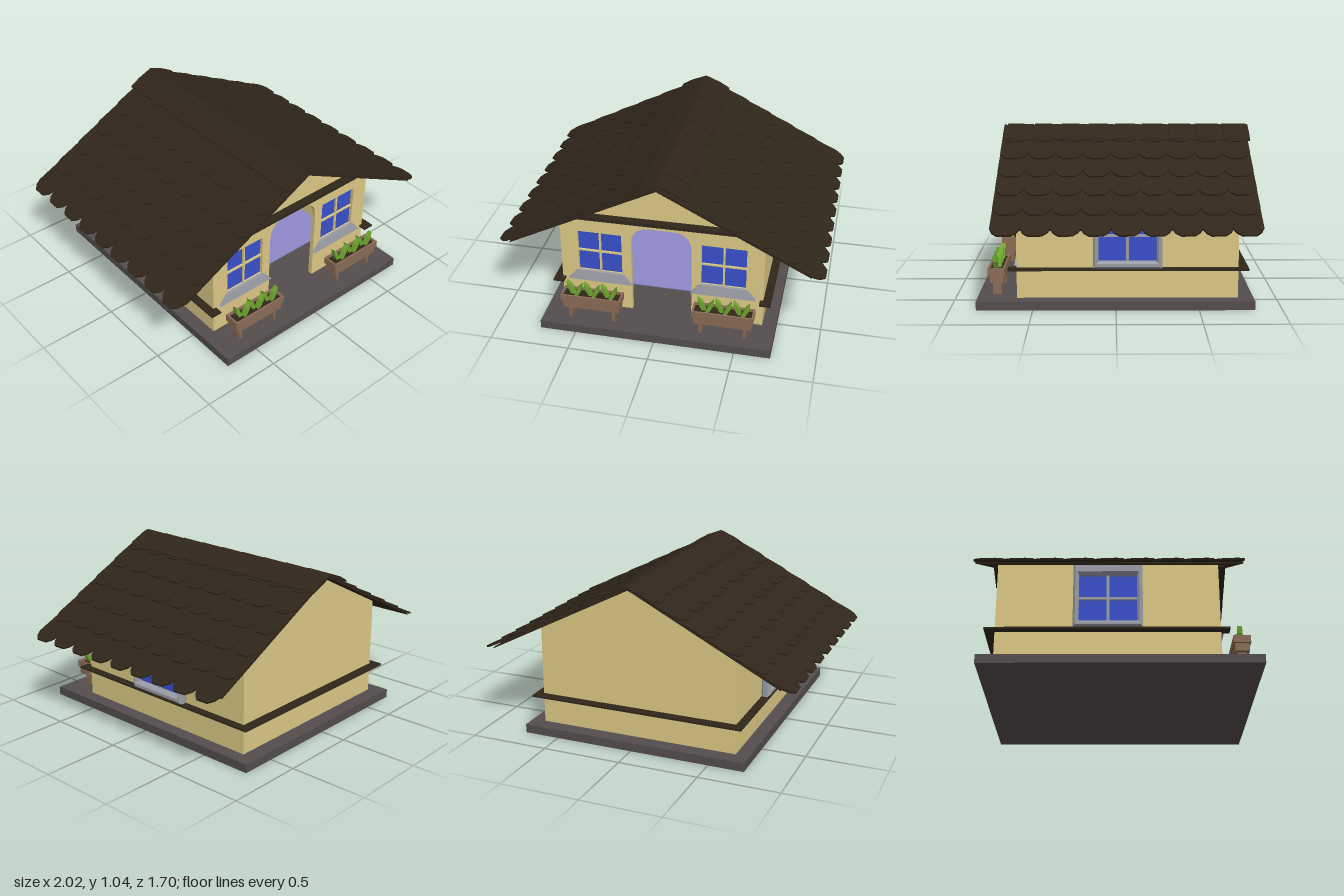
import * as THREE from 'three';

const mat = (color, side = THREE.FrontSide) =>
  new THREE.MeshStandardMaterial({ color, side, flatShading: true });
const WALL = mat(0xdcc986), ROOF = mat(0x30261a), STONE = mat(0x544d4d), FRAME = mat(0x9b9da6);
const GLASS = mat(0x3850cc), WOOD = mat(0x8a6b55), LEAF = mat(0x6fa62e, THREE.DoubleSide);
const FLOOR = mat(0x8c88c8);

function add(parent, name, geo, material, x = 0, y = 0, z = 0) {
  const m = new THREE.Mesh(geo, material);
  m.name = name;
  m.position.set(x, y, z);
  parent.add(m);
  return m;
}

// box given by its min and max on each axis
function span(parent, name, material, x0, x1, y0, y1, z0, z1) {
  return add(parent, name, new THREE.BoxGeometry(x1 - x0, y1 - y0, z1 - z0), material,
    (x0 + x1) / 2, (y0 + y1) / 2, (z0 + z1) / 2);
}

const shapeOf = pts => new THREE.Shape(pts.map(p => new THREE.Vector2(...p)));
const extrude = (shape, depth) =>
  new THREE.ExtrudeGeometry(shape, { depth, bevelEnabled: false, curveSegments: 8 });
const rect = (x0, x1, y0, y1) => [[x0, y0], [x1, y0], [x1, y1], [x0, y1]];

const W = 0.64, ZF = 0.6, ZB = -0.74, T = 0.03, Y0 = 0.055;
const SLOPE = 0.515, RIDGE = 1.022, ANGLE = Math.atan(SLOPE);
const roofY = x => RIDGE - SLOPE * Math.abs(x);

function walls() {
  const g = new THREE.Group();
  g.name = 'walls';
  const eave = roofY(W) - 0.005, top = RIDGE - 0.005;
  // front gable with an arched doorway and two window openings
  const front = new THREE.Shape();
  front.moveTo(-W, Y0);
  front.lineTo(-0.19, Y0);
  front.lineTo(-0.19, 0.54);
  front.quadraticCurveTo(-0.19, 0.67, -0.07, 0.67);
  front.lineTo(0.07, 0.67);
  front.quadraticCurveTo(0.19, 0.67, 0.19, 0.54);
  front.lineTo(0.19, Y0);
  front.lineTo(W, Y0);
  front.lineTo(W, eave);
  front.lineTo(0, top);
  front.lineTo(-W, eave);
  for (const c of [-0.39, 0.39]) front.holes.push(shapeOf(rect(c - 0.14, c + 0.14, 0.31, 0.6)));
  add(g, 'frontWall', extrude(front, T), WALL, 0, 0, ZF - T);
  const back = shapeOf([[-W, Y0], [W, Y0], [W, eave], [0, top], [-W, eave]]);
  add(g, 'backWall', extrude(back, T), WALL, 0, 0, ZB);
  for (const s of [-1, 1])
    span(g, 'sideWall', WALL, s * (W - T / 2) - T / 2, s * (W - T / 2) + T / 2, Y0, eave, ZB + T, ZF - T);
  span(g, 'insideFloor', FLOOR, -W + T, W - T, Y0, Y0 + 0.006, ZB + T, 0.35);
  return g;
}

function frontWindow(c) {
  const g = new THREE.Group();
  g.name = 'frontWindow';
  span(g, 'glass', GLASS, -0.14, 0.14, 0.31, 0.6, 0.57, 0.578);
  span(g, 'uprightBar', WALL, -0.006, 0.006, 0.31, 0.6, 0.578, 0.59);
  span(g, 'crossBar', WALL, -0.14, 0.14, 0.45, 0.461, 0.578, 0.59);
  // sill flares out toward its bottom edge
  const sill = new THREE.BoxGeometry(0.41, 0.065, 0.03);
  const p = sill.attributes.position;
  for (let i = 0; i < p.count; i++) if (p.getY(i) > 0) {
    p.setX(i, p.getX(i) * 0.74);
    if (p.getZ(i) > 0) p.setZ(i, 0.004);
  }
  add(g, 'sill', sill, FRAME, 0, 0.278, 0.604);
  g.position.x = c;
  return g;
}

// window built facing +z, then turned to face sideways
function sideWindow(side) {
  const g = new THREE.Group();
  g.name = 'sideWindow';
  const frame = shapeOf(rect(-0.195, 0.195, 0.26, 0.655));
  frame.holes.push(shapeOf(rect(-0.187, 0.187, 0.278, 0.612)));
  add(g, 'frame', new THREE.ExtrudeGeometry(frame, {
    depth: 0.03, bevelThickness: 0.015, bevelSize: 0.013, bevelSegments: 1
  }), FRAME, 0, 0, 0.01);
  span(g, 'glass', GLASS, -0.187, 0.187, 0.275, 0.615, 0, 0.012);
  span(g, 'uprightBar', FRAME, -0.009, 0.009, 0.275, 0.615, 0.012, 0.024);
  span(g, 'crossBar', FRAME, -0.187, 0.187, 0.437, 0.453, 0.012, 0.024);
  g.rotation.y = side * Math.PI / 2;
  g.position.set(side * W, 0, -0.07);
  return g;
}

function planter(c) {
  const g = new THREE.Group();
  g.name = 'planter';
  span(g, 'lowerPlank', WOOD, -0.18, 0.18, 0.135, 0.185, -0.043, 0.043);
  // open upper rim with soil inside
  for (const s of [-1, 1]) {
    span(g, 'rimLong', WOOD, -0.19, 0.19, 0.185, 0.23, s * 0.046 - 0.006, s * 0.046 + 0.006);
    span(g, 'rimShort', WOOD, s * 0.184 - 0.006, s * 0.184 + 0.006, 0.185, 0.23, -0.04, 0.04);
    span(g, 'leg', WOOD, s * 0.138 - 0.009, s * 0.138 + 0.009, Y0, 0.135, -0.027, 0.027);
  }
  span(g, 'soil', ROOF, -0.178, 0.178, 0.185, 0.215, -0.04, 0.04);
  // leaning pairs of leaves
  const leaf = extrude(shapeOf([[-0.01, 0], [0.01, 0], [0.015, 0.06], [0, 0.1], [-0.012, 0.06]]), 0.03);
  for (const x of [-0.11, 0, 0.11]) for (const s of [-1, 1]) {
    const m = add(g, 'leaf', leaf, LEAF, x + s * 0.01, 0.212, s * 0.008 - 0.015);
    m.rotation.z = -s * 0.42;
  }
  g.position.set(c, 0, 0.727);
  return g;
}

function roof() {
  const g = new THREE.Group();
  g.name = 'roof';
  const pitch = 0.1733, cols = 9, rows = 6, half = pitch * cols / 2;
  // one tile runs down the slope along x and ends in a blunt scallop
  const tile = len => extrude(shapeOf([[0, -0.088], [len - 0.068, -0.088], [len - 0.03, -0.072],
    [len, -0.04], [len, 0.04], [len - 0.03, 0.072], [len - 0.068, 0.088], [0, 0.088]]), 0.011)
    .rotateX(-Math.PI / 2);
  for (const turn of [0, Math.PI]) {
    const slopeSide = new THREE.Group();
    slopeSide.name = 'roofSlope';
    slopeSide.rotation.y = turn;
    const deck = shapeOf([[0, RIDGE], [0, RIDGE - 0.01], [0.93, roofY(0.93) - 0.008], [0.93, roofY(0.93)]]);
    add(slopeSide, 'deck', extrude(deck, half * 2 - 0.01), ROOF, 0, 0, -half + 0.005);
    for (let r = 0; r < rows; r++) {
      const low = 1 - 0.165 * r;
      const len = Math.min(0.25, low / Math.cos(ANGLE));
      const geo = tile(len), start = low - len * Math.cos(ANGLE);
      for (let c = 0; c < cols; c++) {
        const m = add(slopeSide, 'tile', geo, ROOF, start, roofY(start), (c + 0.5) * pitch - half);
        m.rotation.set(0.03, 0, 0.045 - ANGLE, 'ZXY');
      }
    }
    g.add(slopeSide);
  }
  // bent caps along the ridge
  const cap = extrude(shapeOf([[0, RIDGE + 0.018], [-0.1, 1.0], [-0.165, 0.962], [-0.165, 0.95],
    [0, RIDGE], [0.165, 0.95], [0.165, 0.962], [0.1, 1.0]]), pitch - 0.006);
  for (let c = 0; c < cols; c++) {
    const m = add(g, 'ridgeCap', cap, ROOF, 0, 0, c * pitch - half + 0.003);
    m.rotation.x = -0.02;
  }
  g.position.z = -0.06;
  return g;
}

export function createModel() {
  const house = new THREE.Group();
  house.name = 'house';
  span(house, 'base', STONE, -0.725, 0.725, 0, Y0, -0.835, 0.84);
  house.add(walls(), roof());
  for (const s of [-1, 1]) {
    house.add(frontWindow(s * 0.39), sideWindow(s), planter(s * 0.414));
    span(house, 'sideBelt', ROOF, s * 0.655 - 0.035, s * 0.655 + 0.035, 0.234, 0.245, -0.8, 0.65);
  }
  span(house, 'backBelt', ROOF, -0.62, 0.62, 0.234, 0.245, -0.8, -0.73);
  span(house, 'frontBeam', ROOF, -0.555, 0.555, 0.72, 0.742, 0.595, 0.65).rotation.z = 0.006;
  return house;
}
